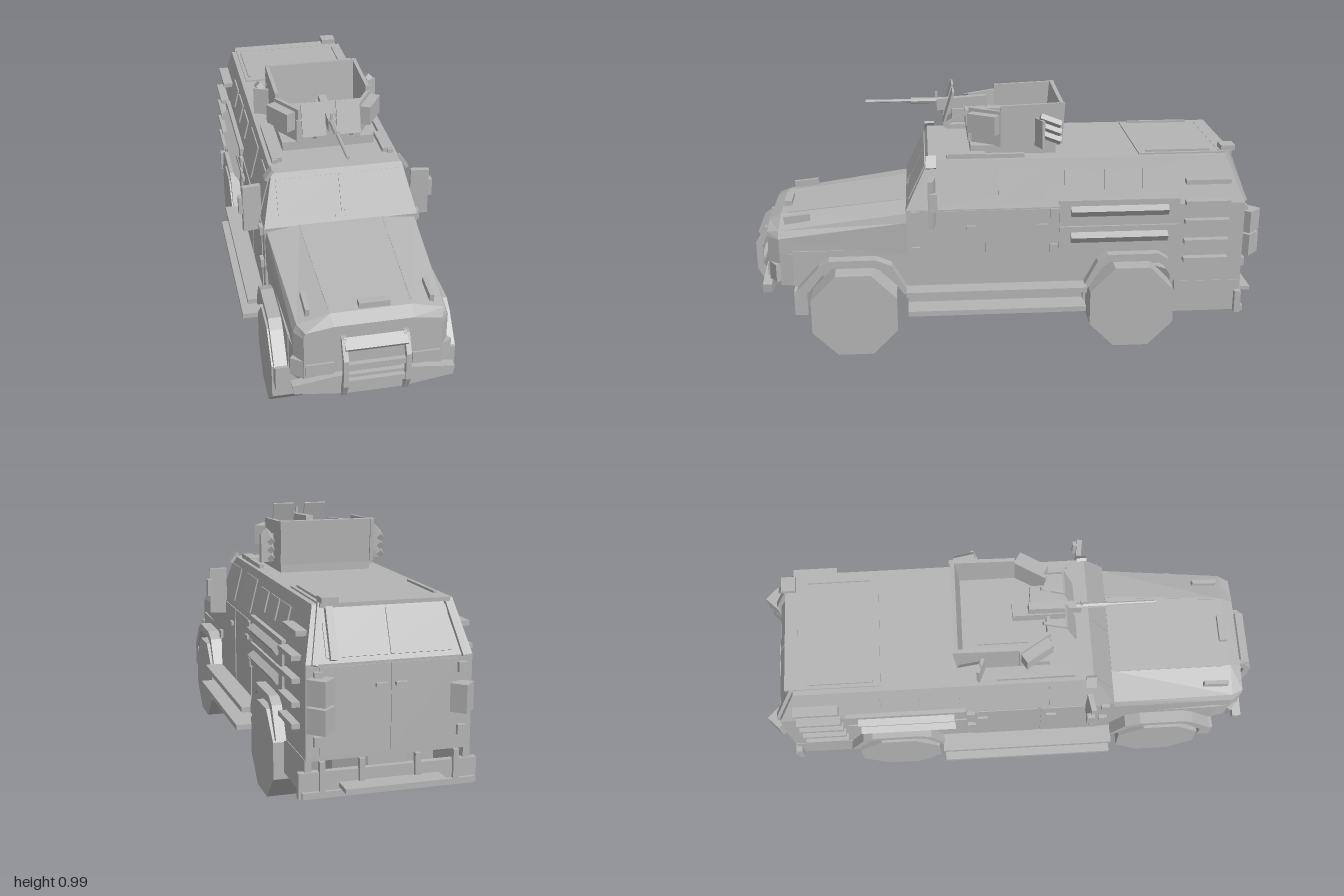
import * as THREE from 'three';

const paint = new THREE.MeshStandardMaterial({ color: 0xb4b4b4, side: THREE.DoubleSide });
paint.name = 'grey paint';

function flat(geo) {
  const g = geo.index ? geo.toNonIndexed() : geo;
  g.computeVertexNormals();
  return g;
}

// Skin through rings of [x, y, z] points, with closed ends
function loft(rings) {
  const pos = [], n = rings[0].length;
  const tri = (a, b, c) => pos.push(...a, ...b, ...c);
  for (let i = 0; i < rings.length - 1; i++) {
    for (let j = 0; j < n; j++) {
      const k = (j + 1) % n, A = rings[i], B = rings[i + 1];
      tri(A[j], A[k], B[k]);
      tri(A[j], B[k], B[j]);
    }
  }
  for (let j = 1; j < n - 1; j++) {
    const A = rings[0], B = rings[rings.length - 1];
    tri(A[0], A[j + 1], A[j]);
    tri(B[0], B[j], B[j + 1]);
  }
  const g = new THREE.BufferGeometry();
  g.setAttribute('position', new THREE.Float32BufferAttribute(pos, 3));
  return flat(g);
}

// Symmetric ring at one z, from half a profile listed bottom to top
const ringAt = (z, half) => [
  ...half.map(([x, y]) => [x, y, z]),
  ...half.slice().reverse().map(([x, y]) => [-x, y, z]),
];

// Extrusion of a side profile given as [z, y], centred on x
function sideExtrude(points, width, x = 0) {
  const shape = new THREE.Shape(points.map(([z, y]) => new THREE.Vector2(z, y)));
  return new THREE.ExtrudeGeometry(shape, { depth: width, bevelEnabled: false })
    .rotateY(-Math.PI / 2).translate(x + width / 2, 0, 0);
}

export function createModel() {
  const model = new THREE.Group();
  model.name = 'armouredTruck';

  const add = (name, geo, p = [0, 0, 0], r = [0, 0, 0]) => {
    const m = new THREE.Mesh(geo, paint);
    m.name = name;
    m.position.set(...p);
    m.rotation.set(...r);
    model.add(m);
  };
  const box = (name, size, p, r) => add(name, new THREE.BoxGeometry(...size), p, r);
  const pair = (name, size, [x, y, z], [rx, ry, rz] = [0, 0, 0]) => {
    for (const s of [1, -1]) box(name, size, [s * x, y, z], [rx, s * ry, s * rz]);
  };
  const rod = (name, radius, length, p, r, sides = 8) =>
    add(name, flat(new THREE.CylinderGeometry(radius, radius, length, sides)), p, r);
  // Plate pair lying on the body sides, following the lean above the belt line
  const sidePlate = (name, z0, z1, y0, y1, t) => {
    const y = (y0 + y1) / 2, up = y > 0.58;
    const x = up ? 0.295 - (y - 0.58) * 0.247 : 0.295;
    pair(name, [t * 2, y1 - y0, z1 - z0], [x, y, (z0 + z1) / 2], [0, 0, up ? 0.243 : 0]);
  };

  // Lower body with wheel arches
  add('lowerBody', sideExtrude([
    [0.4, 0.25], [-0.29, 0.25], [-0.35, 0.35], [-0.38, 0.37], [-0.58, 0.37], [-0.61, 0.35], [-0.67, 0.25],
    [-0.92, 0.25], [-0.92, 0.58], [0.4, 0.58],
  ], 0.59));
  add('frontArchBody', sideExtrude([
    [0.84, 0.28], [0.82, 0.27], [0.73, 0.36], [0.7, 0.375], [0.52, 0.375], [0.47, 0.35], [0.41, 0.25],
    [0.38, 0.25], [0.38, 0.42], [0.84, 0.42],
  ], 0.57));

  // Cabin, leaning inwards on all four sides
  add('cabin', loft([[0.295, 0.4, -0.92, 0.58], [0.25, 0.31, -0.84, 0.764]].map(([x, f, b, y]) =>
    [[x, y, f], [x, y, b], [-x, y, b], [-x, y, f]])));
  box('rearRoofPanel', [0.46, 0.014, 0.33], [0, 0.763, -0.67]);

  // Bonnet and nose
  add('bonnet', loft([
    ringAt(0.4, [[0.29, 0.4], [0.293, 0.53], [0.285, 0.565], [0.16, 0.583]]),
    ringAt(0.89, [[0.275, 0.4], [0.275, 0.47], [0.262, 0.5], [0.145, 0.53]]),
    ringAt(0.935, [[0.245, 0.4], [0.245, 0.47], [0.24, 0.49], [0.14, 0.505]]),
  ]));
  add('nose', loft([
    ringAt(0.82, [[0.285, 0.28], [0.285, 0.41]]),
    ringAt(0.89, [[0.275, 0.28], [0.275, 0.41]]),
    ringAt(0.935, [[0.245, 0.28], [0.245, 0.41]]),
  ]));
  pair('bonnetSeam', [0.006, 0.006, 0.47], [0.153, 0.557, 0.63], [0.104, -0.03, 0]);
  pair('bonnetHandle', [0.016, 0.045, 0.1], [0.22, 0.525, 0.82], [0.1, 0, 0]);
  box('bonnetLatch', [0.11, 0.025, 0.03], [0.012, 0.54, 0.87]);

  // Windscreen
  pair('windscreenPane', [0.235, 0.15, 0.009], [0.12, 0.675, 0.3535], [-0.454, 0, 0]);
  pair('wiper', [0.006, 0.025, 0.01], [0.018, 0.61, 0.387], [-0.454, 0, 0]);

  // Bumper, headlights and grille guard
  add('frontBumper', loft([0.925, 0.96].map(z => ringAt(z, [[0.1, 0.23], [0.285, 0.255], [0.29, 0.29], [0.14, 0.31]]))));
  pair('headlight', [0.1, 0.048, 0.02], [0.19, 0.333, 0.932]);
  pair('cornerLamp', [0.05, 0.07, 0.02], [0.262, 0.335, 0.91], [0, 0.59, 0]);
  for (const s of [1, -1]) {
    add('guardUpright', sideExtrude([[0.93, 0.22], [0.97, 0.23], [1, 0.29], [1, 0.4], [0.96, 0.465],
      [0.935, 0.465], [0.975, 0.39], [0.975, 0.3], [0.95, 0.25], [0.93, 0.25]], 0.018, s * 0.11));
  }
  box('guardTop', [0.22, 0.018, 0.045], [0, 0.447, 0.965], [0.6, 0, 0]);
  for (const y of [0.3, 0.37]) box('guardBar', [0.21, 0.022, 0.018], [0, y, 0.985]);
  box('grille', [0.2, 0.13, 0.01], [0, 0.375, 0.937]);

  // Underbody: sills and cross member round an open floor, axles and steps
  pair('sill', [0.03, 0.08, 0.69], [0.28, 0.22, 0.055]);
  box('floorCrossMember', [0.54, 0.06, 0.05], [0, 0.235, 0.37]);
  box('floorCrossKeel', [0.28, 0.05, 0.05], [0, 0.2, 0.37]);
  box('frontChassis', [0.28, 0.12, 0.4], [0, 0.32, 0.6]);
  box('rearChassis', [0.28, 0.1, 0.4], [0, 0.32, -0.48]);
  pair('lowerStep', [0.1, 0.02, 0.69], [0.338, 0.19, 0.055]);
  pair('upperStep', [0.085, 0.02, 0.7], [0.325, 0.26, 0.055]);

  // Wheels: solid outside, hollow inside, with a spare lying flat at the back
  const wheelGeo = flat(new THREE.LatheGeometry([
    [0, 0], [0.12, 0], [0.125, -0.0625], [0.18, -0.0625], [0.18, 0.0625], [0, 0.0625],
  ].map(p => new THREE.Vector2(...p)), 8, Math.PI / 8));
  for (const z of [0.61, -0.48]) {
    rod('axle', 0.045, 0.5, [0, 0.166, z], [0, 0, Math.PI / 2]);
    pair('suspensionArm', [0.03, 0.12, 0.05], [0.12, 0.225, z]);
    for (const s of [1, -1]) {
      add('wheel', wheelGeo, [s * 0.2725, 0.166, z], [0, 0, -s * Math.PI / 2]);
    }
  }
  add('spareWheel', wheelGeo, [0, 0.185, -0.735]);

  // Wheel arch flares
  const flares = [
    [[0.83, 0.27], [0.74, 0.37], [0.7, 0.395], [0.52, 0.395], [0.46, 0.37], [0.395, 0.255],
      [0.415, 0.25], [0.48, 0.345], [0.53, 0.365], [0.69, 0.365], [0.72, 0.345], [0.78, 0.27]],
    [[-0.28, 0.25], [-0.34, 0.365], [-0.38, 0.39], [-0.58, 0.39], [-0.62, 0.365], [-0.68, 0.25],
      [-0.66, 0.25], [-0.6, 0.34], [-0.57, 0.36], [-0.39, 0.36], [-0.36, 0.34], [-0.3, 0.25]],
  ];
  for (const f of flares) for (const s of [1, -1]) add('archFlare', sideExtrude(f, 0.055, s * 0.305));
  pair('frontMudFlap', [0.12, 0.1, 0.05], [0.27, 0.225, 0.812]);
  pair('rearMudFlap', [0.11, 0.1, 0.01], [0.27, 0.2, -0.29]);

  // Doors, windows and side fittings
  for (const [z0, z1] of [[0.11, 0.35], [-0.165, 0.095]]) {
    sidePlate('door', z0, z1, 0.275, 0.575, 0.004);
    sidePlate('doorWindow', z0 + 0.03, z1 - 0.05, 0.6, 0.735, 0.005);
    sidePlate('doorHandle', z0 + 0.02, z0 + 0.06, 0.5, 0.515, 0.014);
  }
  for (const z of [0.365, -0.17]) for (const y of [0.415, 0.56]) sidePlate('hinge', z - 0.016, z + 0.016, y - 0.017, y + 0.017, 0.014);
  for (const z of [-0.27, -0.425, -0.575]) sidePlate('sideWindow', z - 0.06, z + 0.06, 0.64, 0.72, 0.006);
  for (const y of [0.455, 0.562]) {
    sidePlate('louvrePanel', -0.66, -0.19, y - 0.045, y + 0.045, 0.01);
    pair('louvreHood', [0.05, 0.03, 0.38], [0.3, y + 0.008, -0.425], [0, 0, -0.6]);
  }
  for (const y of [0.355, 0.43, 0.512, 0.59, 0.672]) {
    const w = y > 0.58 ? 0.07 : 0.05;
    pair('sideRib', [w, 0.018, 0.175], [0.325 - w / 2 - (y > 0.6 ? 0.015 : 0), y, -0.768]);
  }

  // Door mirrors
  pair('mirror', [0.07, 0.19, 0.02], [0.327, 0.62, 0.3], [0, -0.15, 0]);
  pair('mirrorEdge', [0.02, 0.07, 0.03], [0.366, 0.635, 0.295]);

  // Roof fittings
  pair('roofRail', [0.02, 0.02, 0.3], [0.225, 0.77, 0.09]);
  pair('roofLamp', [0.04, 0.025, 0.14], [0.215, 0.77, 0.16]);
  pair('cornerFin', [0.012, 0.05, 0.04], [0.258, 0.76, 0.3], [0, 0, 0.6]);
  pair('rearRoofRail', [0.012, 0.012, 0.25], [0.21, 0.772, -0.66]);

  // Rear doors, lights and bumper
  pair('rearDoor', [0.245, 0.3, 0.01], [0.126, 0.42, -0.919]);
  pair('rearDoorTop', [0.22, 0.16, 0.01], [0.113, 0.67, -0.881], [0.41, 0, 0]);
  pair('rearHandle', [0.04, 0.012, 0.03], [0.035, 0.5, -0.925]);
  for (const y of [0.32, 0.54]) pair('rearHinge', [0.03, 0.035, 0.03], [0.255, y, -0.925]);
  pair('rearGutter', [0.02, 0.21, 0.03], [0.245, 0.67, -0.88], [0.4, 0, 0.2]);
  box('rearRoofTrim', [0.46, 0.014, 0.05], [0, 0.764, -0.845]);
  box('cameraPost', [0.06, 0.02, 0.055], [0.2, 0.783, -0.855]);
  box('cameraStem', [0.025, 0.2, 0.02], [0.2, 0.685, -0.89], [0.38, 0, 0]);
  for (const y of [0.4, 0.495]) box('rearLight', [0.07, 0.088, 0.07], [0.25, y, -0.945], [0, Math.PI / 4, 0]);
  box('rearLamp', [0.065, 0.1, 0.06], [-0.25, 0.44, -0.945], [0, Math.PI / 4, 0]);
  pair('rearSidePanel', [0.025, 0.13, 0.26], [0.285, 0.19, -0.785]);
  box('rearBumper', [0.64, 0.09, 0.025], [0, 0.167, -0.91]);
  box('rearBumperBar', [0.62, 0.022, 0.03], [0, 0.135, -0.92]);
  box('rearStep', [0.36, 0.016, 0.08], [0, 0.163, -0.96]);
  for (const x of [0.1, 0.24]) pair('bumperRib', [0.02, 0.12, 0.02], [x, 0.19, -0.925]);

  // Turret, open on top
  box('turretRing', [0.36, 0.035, 0.33], [0, 0.782, -0.02]);
  box('turretHatch', [0.2, 0.012, 0.2], [0, 0.803, -0.03]);
  box('turretBack', [0.375, 0.17, 0.016], [0, 0.882, -0.2], [-0.08, 0, 0]);
  for (const s of [1, -1]) {
    add('turretSide', sideExtrude([[-0.21, 0.8], [0.03, 0.8], [0.03, 0.955], [-0.22, 0.965]], 0.014, s * 0.18));
  }
  pair('turretCheek', [0.014, 0.14, 0.14], [0.148, 0.865, 0.085], [0, -0.55, 0]);
  box('turretFront', [0.25, 0.09, 0.014], [0, 0.845, 0.145]);
  pair('cheekBox', [0.04, 0.075, 0.12], [0.176, 0.885, 0.095], [0, -0.55, 0]);
  pair('launcherPlate', [0.06, 0.11, 0.012], [0.22, 0.855, -0.12], [0, 0.4, 0]);
  for (let i = 0; i < 3; i++) for (const s of [1, -1]) {
    rod('launcherTube', 0.016, 0.085, [s * 0.222, 0.84 + i * 0.032, -0.16], [1.2, 0, 0], 4);
  }

  // Gun with split shield
  for (const x of [-0.073, 0.06]) box('gunShield', [0.09, 0.13, 0.008], [x, 0.93, 0.225], [-0.3, 0, 0]);
  pair('shieldStrut', [0.012, 0.012, 0.13], [0.07, 0.89, 0.18], [0.5, 0, 0]);
  box('gunCradle', [0.05, 0.05, 0.2], [-0.005, 0.88, 0.11]);
  box('gunBody', [0.03, 0.045, 0.2], [-0.01, 0.925, 0.17], [0.06, 0, 0]);
  box('ammoBox', [0.07, 0.06, 0.08], [0.05, 0.885, 0.12]);
  rod('gunBarrel', 0.007, 0.3, [-0.012, 0.934, 0.4], [Math.PI / 2, 0, 0]);
  rod('barrelJacket', 0.012, 0.12, [-0.012, 0.934, 0.31], [Math.PI / 2, 0, 0]);
  box('gunSight', [0.008, 0.03, 0.01], [-0.012, 0.955, 0.27]);

  return model;
}
